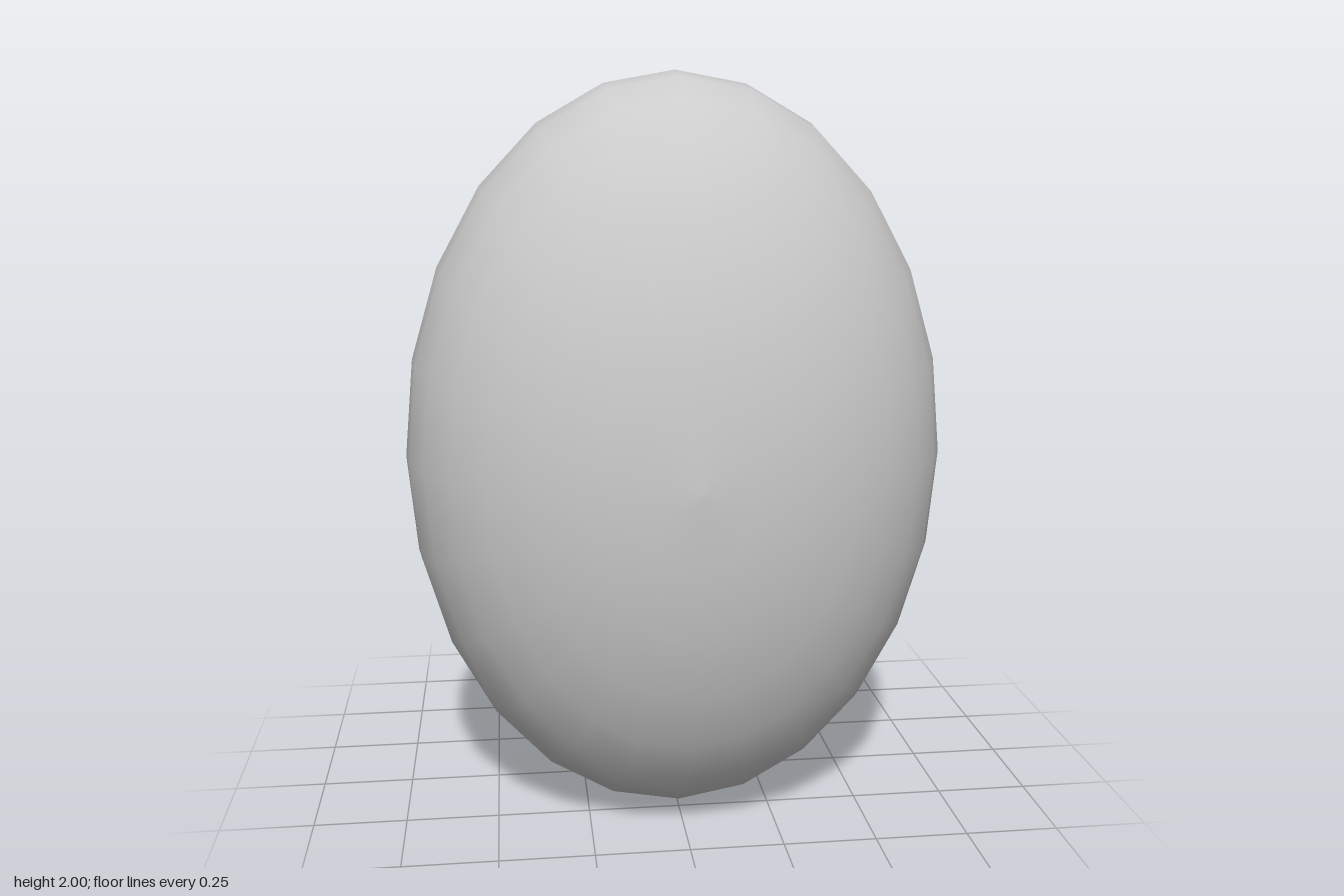
import * as THREE from 'three';

const SIDES = 24;
const WIDTH = 0.72; // the oval's width relative to its height
const BACK = -0.67;
const NECK_RADIUS = 0.557;

export function createModel() {
  const group = new THREE.Group();
  group.name = 'ovalKnob';
  const material = new THREE.MeshStandardMaterial({ color: 0xcccccc });

  // Profile from the back of the neck to the widest rim: [radius, z]
  const profile = [
    [NECK_RADIUS, BACK], [0.557, -0.42], [0.572, -0.36], [0.615, -0.3],
    [0.715, -0.215], [0.835, -0.15], [0.928, -0.058], [0.983, 0.04],
  ].map(([r, z]) => new THREE.Vector2(r, z));

  // Domed front: a quarter ellipse from the rim to the centre
  const steps = 8;
  for (let i = 0; i <= steps; i++) {
    const a = (i / steps) * Math.PI / 2;
    profile.push(new THREE.Vector2(i === steps ? 0 : Math.cos(a), 0.145 + 0.525 * Math.sin(a)));
  }

  // Knob body with its flared neck, turned about z and squeezed to an oval
  const bodyGeometry = new THREE.LatheGeometry(profile, SIDES);
  bodyGeometry.rotateX(Math.PI / 2);
  bodyGeometry.scale(WIDTH, 1, 1);
  const body = new THREE.Mesh(bodyGeometry, material);
  body.name = 'knobBody';
  body.position.y = 1;
  group.add(body);

  // Flat mounting face closing the neck
  const faceGeometry = new THREE.CircleGeometry(NECK_RADIUS, SIDES);
  faceGeometry.rotateY(Math.PI);
  faceGeometry.scale(WIDTH, 1, 1);
  const face = new THREE.Mesh(faceGeometry, material);
  face.name = 'mountingFace';
  face.position.set(0, 1, BACK);
  group.add(face);

  return group;
}
